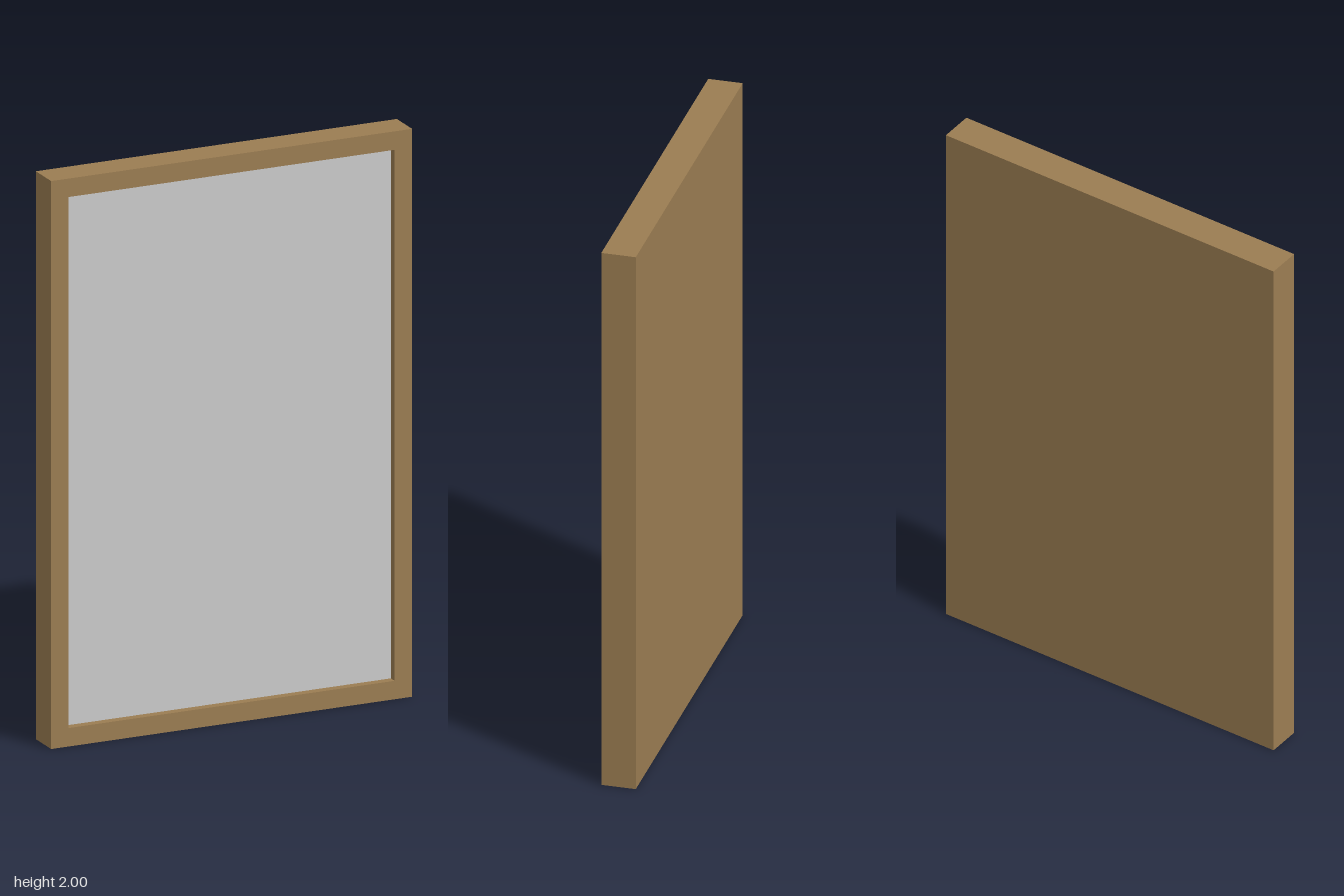
import * as THREE from 'three';

const WIDTH = 1.34, HEIGHT = 2, DEPTH = 0.12;
const BORDER = 0.065; // width of the frame's front face
const RECESS = 0.03;  // how far the panel sits behind the frame's front

// Rectangle outline centred on the origin
function rectangle(PathType, w, h) {
  return new PathType([
    new THREE.Vector2(-w / 2, -h / 2),
    new THREE.Vector2(w / 2, -h / 2),
    new THREE.Vector2(w / 2, h / 2),
    new THREE.Vector2(-w / 2, h / 2),
  ]);
}

export function createModel() {
  const group = new THREE.Group();
  group.name = 'framedPanel';
  const wood = new THREE.MeshStandardMaterial({ color: 0x9b7d52 });
  const grey = new THREE.MeshStandardMaterial({ color: 0xcccccc });
  const innerW = WIDTH - 2 * BORDER, innerH = HEIGHT - 2 * BORDER;

  const add = (name, geometry, material, z) => {
    const mesh = new THREE.Mesh(geometry, material);
    mesh.name = name;
    mesh.position.set(0, HEIGHT / 2, z);
    group.add(mesh);
  };

  // Raised rim around the opening
  const rim = rectangle(THREE.Shape, WIDTH, HEIGHT);
  rim.holes.push(rectangle(THREE.Path, innerW, innerH));
  add('frame', new THREE.ExtrudeGeometry(rim, { depth: DEPTH, bevelEnabled: false }), wood, -DEPTH / 2);

  // Wooden backing, filling the opening flush with the back
  const backDepth = 0.06;
  add('backing', new THREE.BoxGeometry(innerW, innerH, backDepth), wood, -DEPTH / 2 + backDepth / 2);

  // Flat panel set into the opening
  const panelDepth = DEPTH - RECESS - backDepth;
  add('panel', new THREE.BoxGeometry(innerW, innerH, panelDepth), grey, DEPTH / 2 - RECESS - panelDepth / 2);

  return group;
}
